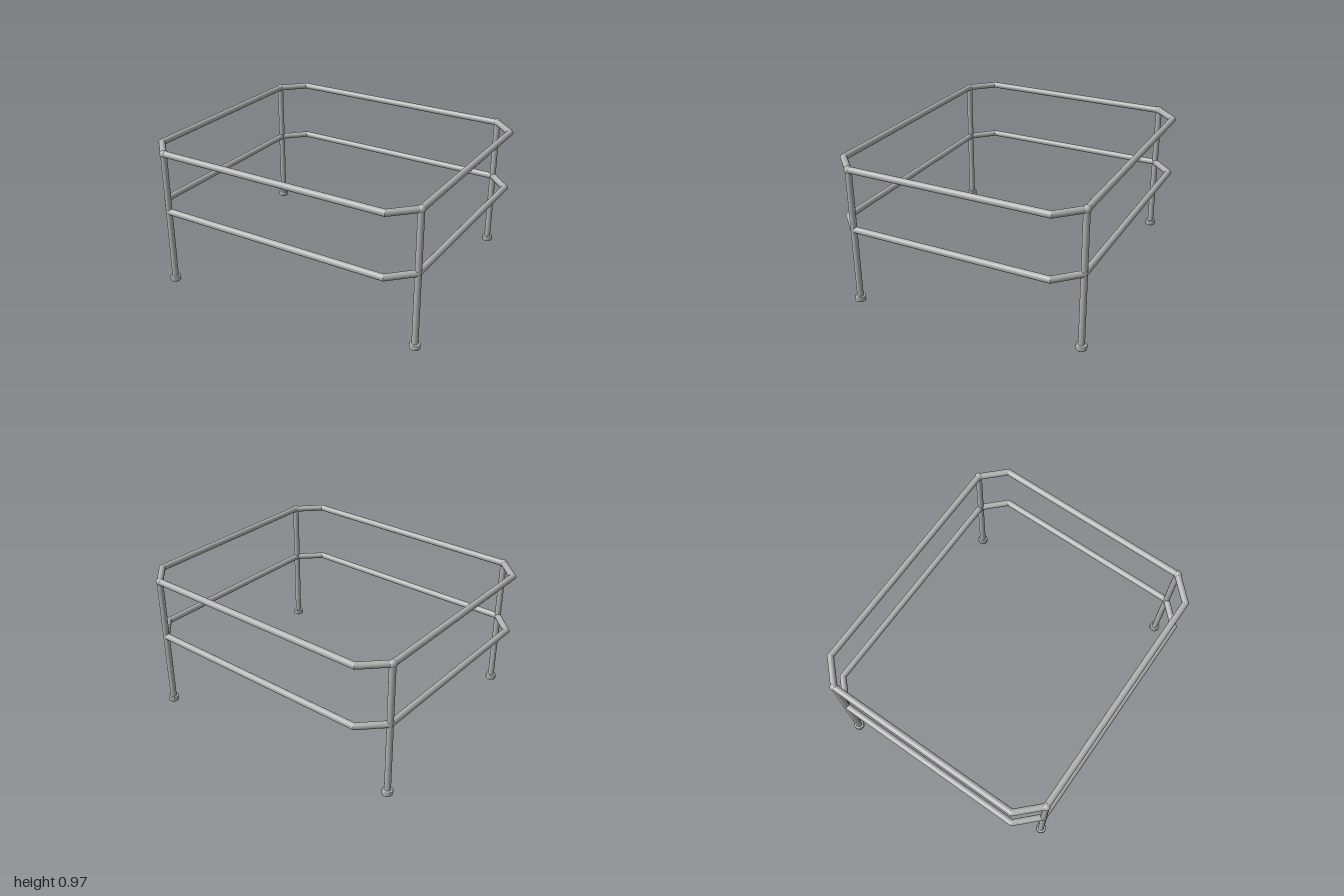
import * as THREE from 'three';

const PIPE = 0.022;
const TOP_Y = 0.947;
const LOW_Y = 0.53;

// Chamfered rectangle followed by both rails
const CORNERS = [
  [0.965, 0.69], [0.815, 0.84], [-0.815, 0.84], [-0.965, 0.69],
  [-0.965, -0.69], [-0.815, -0.84], [0.815, -0.84], [0.965, -0.69],
];

// Pipe between two corners, its ends sheared to meet the neighbours in a mitre
function mitredPipe(a, b, y, material) {
  const from = new THREE.Vector3(a[0], y, a[1]);
  const to = new THREE.Vector3(b[0], y, b[1]);
  const length = from.distanceTo(to);
  const along = to.clone().sub(from).normalize();
  const outward = new THREE.Vector3(-along.z, 0, along.x);
  const middle = from.clone().add(to).multiplyScalar(0.5);
  if (outward.x * middle.x + outward.z * middle.z < 0) outward.negate();

  const geometry = new THREE.CylinderGeometry(PIPE, PIPE, length, 24, 1, true);
  const p = geometry.attributes.position;
  const slope = Math.tan(Math.PI / 8);
  for (let i = 0; i < p.count; i++) {
    p.setY(i, p.getY(i) + Math.sign(p.getY(i)) * p.getX(i) * slope);
  }
  const up = outward.clone().cross(along);
  geometry.applyMatrix4(new THREE.Matrix4().makeBasis(outward, along, up).setPosition(middle));
  return new THREE.Mesh(geometry, material);
}

function rail(name, y, material) {
  const group = new THREE.Group();
  group.name = name;
  CORNERS.forEach((a, i) => {
    const pipe = mitredPipe(a, CORNERS[(i + 1) % CORNERS.length], y, material);
    pipe.name = name + 'Pipe' + (i + 1);
    group.add(pipe);
  });
  return group;
}

export function createModel() {
  const model = new THREE.Group();
  model.name = 'tubularFrame';
  const steel = new THREE.MeshStandardMaterial({ color: 0xb0b0b0 });
  steel.name = 'greySteel';

  model.add(rail('topRail', TOP_Y, steel), rail('lowerRail', LOW_Y, steel));

  const legGeometry = new THREE.CylinderGeometry(PIPE * 0.97, PIPE * 0.97, TOP_Y - 0.03, 24, 1, true);
  const ballGeometry = new THREE.SphereGeometry(0.027, 24, 16);
  // Foot with softened rims
  const footGeometry = new THREE.LatheGeometry(
    [[0, 0], [0.031, 0], [0.036, 0.005], [0.036, 0.033], [0.032, 0.038], [0, 0.038]]
      .map(([r, y]) => new THREE.Vector2(r, y)), 24);

  // A leg stands under every second corner
  for (let i = 0; i < CORNERS.length; i += 2) {
    const [x, z] = CORNERS[i];
    const leg = new THREE.Group();
    leg.name = 'leg' + (i / 2 + 1);
    const parts = [
      ['post', legGeometry, (TOP_Y + 0.03) / 2],
      ['topBall', ballGeometry, TOP_Y],
      ['foot', footGeometry, 0],
    ];
    for (const [name, geometry, y] of parts) {
      const mesh = new THREE.Mesh(geometry, steel);
      mesh.name = name;
      mesh.position.y = y;
      leg.add(mesh);
    }
    leg.position.set(x, 0, z);
    model.add(leg);
  }
  return model;
}
